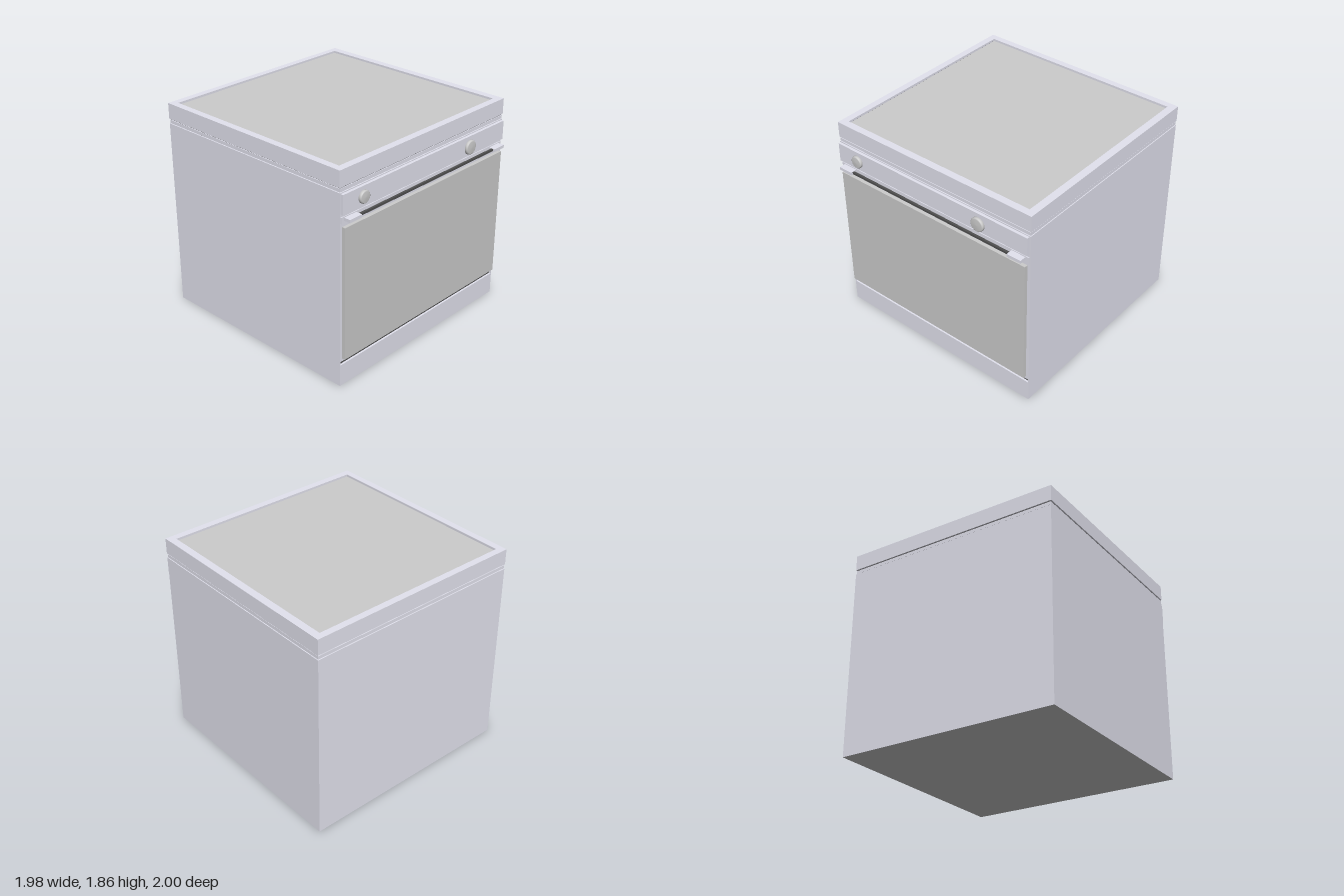
import * as THREE from 'three';

const material = (color) => new THREE.MeshStandardMaterial({ color });

export function createModel() {
  const group = new THREE.Group();
  const enamel = material(0xe3e3ef);
  const grey = material(0xcccccc);
  const dark = material(0x505050);

  const add = (name, geometry, mat) => {
    const mesh = new THREE.Mesh(geometry, mat);
    mesh.name = name;
    group.add(mesh);
    return mesh;
  };
  // Box given by its limits on each axis
  const box = (name, [x0, x1], [y0, y1], [z0, z1], mat = enamel) => {
    const mesh = add(name, new THREE.BoxGeometry(x1 - x0, y1 - y0, z1 - z0), mat);
    mesh.position.set((x0 + x1) / 2, (y0 + y1) / 2, (z0 + z1) / 2);
    return mesh;
  };
  const rect = (Type, x0, x1, y0, y1) => new Type([
    new THREE.Vector2(x0, y0), new THREE.Vector2(x1, y0),
    new THREE.Vector2(x1, y1), new THREE.Vector2(x0, y1),
  ]);

  // Cabinet: side profile with a slot above the plinth, closed by side panels
  const profile = new THREE.Shape([
    [-0.935, 0], [1, 0], [1, 1.68], [-0.935, 1.68],
    [-0.935, 0.222], [-0.915, 0.222], [-0.915, 0.19], [-0.935, 0.19],
  ].map(([x, y]) => new THREE.Vector2(x, y)));
  const cabinet = new THREE.ExtrudeGeometry(profile, { depth: 1.966, bevelEnabled: false });
  cabinet.translate(0, 0, -0.983).rotateY(Math.PI / 2);
  add('cabinet', cabinet, enamel);
  for (const s of [-1, 1]) {
    box('sidePanel', s < 0 ? [-0.988, -0.983] : [0.983, 0.988], [0, 1.68], [-1, 0.935]);
  }
  box('ventSlot', [-0.983, 0.983], [0.19, 0.222], [0.91, 0.918], dark);
  const base = add('bottomPlate', new THREE.PlaneGeometry(1.976, 1.935), grey);
  base.rotation.x = Math.PI / 2;
  base.position.set(0, -0.0005, -0.0325);

  // Stepped neck below the worktop
  box('neckCore', [-0.978, 0.978], [1.67, 1.73], [-0.99, 0.925], dark);
  box('neckBand', [-0.984, 0.984], [1.684, 1.713], [-0.996, 0.931]);

  // Worktop: raised rim around a sunken hob plate
  const rim = rect(THREE.Shape, -0.99, 0.99, -0.935, 1);
  rim.holes.push(rect(THREE.Path, -0.93, 0.924, -0.872, 0.942));
  const rimGeometry = new THREE.ExtrudeGeometry(rim, { depth: 0.138, bevelEnabled: false });
  rimGeometry.rotateX(-Math.PI / 2);
  add('worktopRim', rimGeometry, enamel).position.y = 1.722;
  box('hobSurround', [-0.93, 0.924], [1.722, 1.84], [-0.942, 0.872], dark);
  box('hobPlate', [-0.922, 0.916], [1.73, 1.846], [-0.934, 0.864], grey);

  // Oven door
  box('doorGlass', [-0.965, 0.96], [0.25, 1.4], [0.93, 0.966], grey);

  // Control panel
  box('controlPanel', [-0.98, 0.975], [1.507, 1.672], [0.93, 0.96]);

  // Knobs with a rounded front edge
  for (const [x, y, r] of [[-0.765, 1.588, 0.054], [0.51, 1.58, 0.062]]) {
    const points = [[r * 0.9, 0], [r, 0.004], [r, 0.018], [r * 0.94, 0.025], [r * 0.82, 0.029], [0, 0.031]]
      .map(([a, b]) => new THREE.Vector2(a, b));
    const knob = add('knob', new THREE.LatheGeometry(points, 40), grey);
    knob.rotation.x = Math.PI / 2;
    knob.position.set(x, y, 0.958);
  }

  // Handle: mounting strip, two end blocks and a thin bar
  box('handleStrip', [-0.98, 0.98], [1.43, 1.482], [0.93, 0.942]);
  for (const [x0, x1] of [[-0.95, -0.82], [0.815, 0.945]]) {
    box('handleEnd', [x0, x1], [1.448, 1.474], [0.935, 1]);
  }
  box('handleBar', [-0.82, 0.815], [1.452, 1.47], [0.962, 0.982], dark);

  return group;
}
